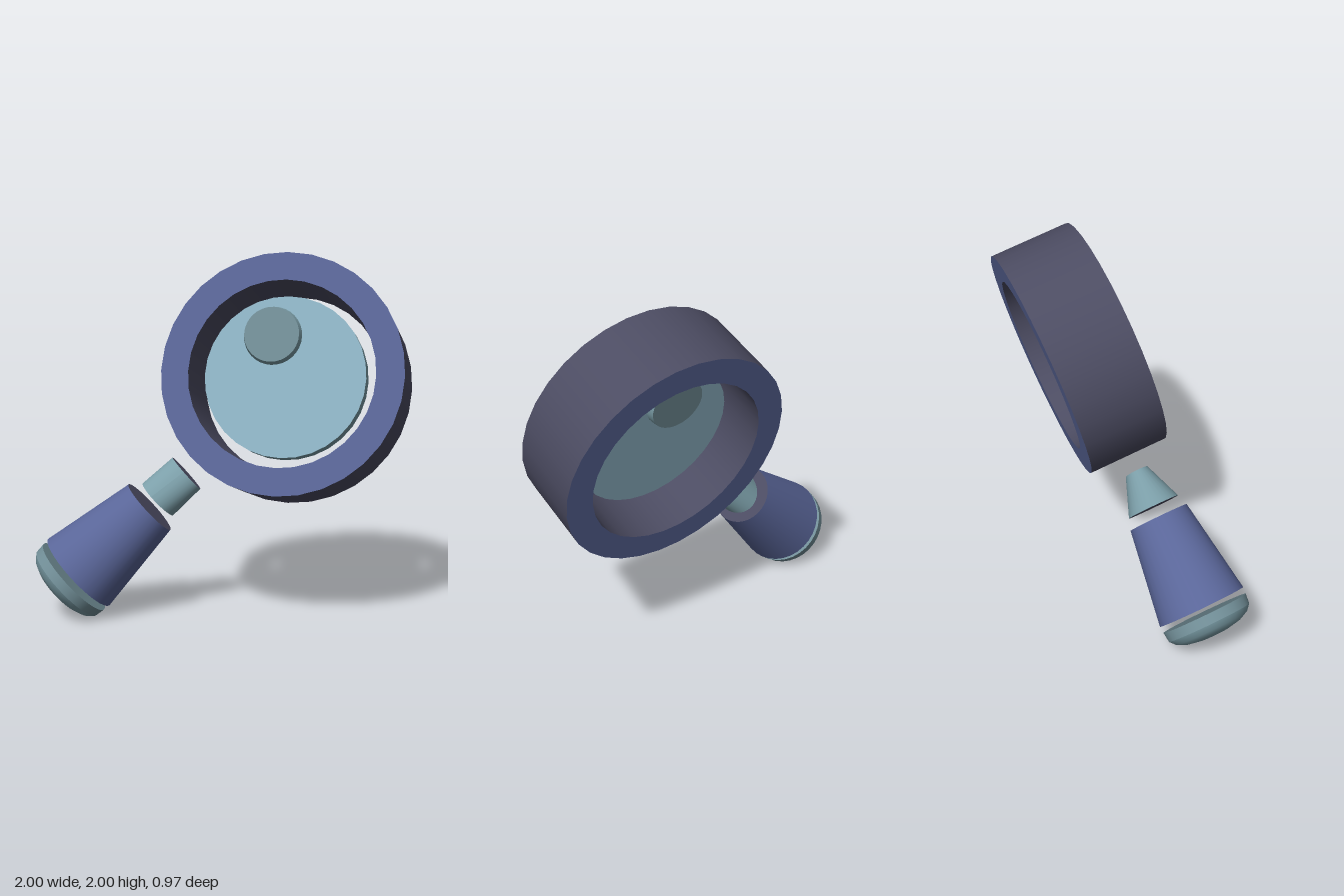
import * as THREE from 'three';

const BLUE = 0x5a6699, SLATE = 0x4c4c62, GLASS = 0x8fb5c6, TEAL = 0x7c9fa9, RIM = 0x728f98;
const SIDES = 32;

// Turns a profile of [radius, height] points, ordered so faces point outward.
function turned(name, color, points, reshape) {
  const geo = new THREE.LatheGeometry(points.map(([r, y]) => new THREE.Vector2(r, y)), SIDES);
  if (reshape) {
    const pos = geo.attributes.position;
    const v = new THREE.Vector3();
    for (let i = 0; i < pos.count; i++) {
      reshape(v.fromBufferAttribute(pos, i));
      pos.setXYZ(i, v.x, v.y, v.z);
    }
    geo.computeVertexNormals();
  }
  const mesh = new THREE.Mesh(geo, new THREE.MeshStandardMaterial({ color }));
  mesh.name = name;
  return mesh;
}

// Closed frustum with crisp ends: r0 at height y0, r1 at height y1.
function frustum(name, r0, y0, r1, y1, sideColor, capColor, reshape) {
  const group = new THREE.Group();
  group.name = name;
  group.add(
    turned(name + 'Side', sideColor, [[r0, y0], [r1, y1]], reshape),
    turned(name + 'LowerCap', capColor, [[0, y0], [r0, y0]], reshape),
    turned(name + 'UpperCap', capColor, [[r1, y1], [0, y1]], reshape)
  );
  return group;
}

export function createModel() {
  const model = new THREE.Group();
  model.name = 'magnifyingGlass';

  // Whole tool leans back; its local z is the optical axis
  const tool = new THREE.Group();
  tool.name = 'tool';
  tool.position.set(0.345, 1.31, -0.085);
  tool.rotation.x = -0.286;
  model.add(tool);

  // Head: frame and lens share an axis
  const head = new THREE.Group();
  head.name = 'head';
  head.rotation.x = Math.PI / 2;
  tool.add(head);

  const R = 0.655, r = 0.505, h = 0.225;
  const frame = new THREE.Group();
  frame.name = 'frame';
  frame.add(
    turned('frameOuterWall', SLATE, [[R, -h], [R, h]]),
    turned('frameFrontFace', BLUE, [[R, h], [r, h]]),
    turned('frameInnerWall', SLATE, [[r, h], [r, -h]]),
    turned('frameBackFace', BLUE, [[r, -h], [R, -h]])
  );
  head.add(frame);

  head.add(frustum('lens', 0.44, 0, 0.44, 0.106, TEAL, GLASS));

  // Small round glint standing out on both sides of the lens
  const glint = new THREE.Group();
  glint.name = 'glint';
  glint.position.set(-0.077, 0, -0.222);
  glint.add(
    frustum('glintBack', 0.15, -0.045, 0.163, 0.02, TEAL, RIM),
    frustum('glintFront', 0.163, 0.09, 0.15, 0.15, TEAL, RIM)
  );
  head.add(glint);

  // Handle: runs radially, down and to the right of the frame
  const handle = new THREE.Group();
  handle.name = 'handle';
  handle.rotation.z = Math.PI * 0.75;
  tool.add(handle);

  // Neck: constant width, thickness flaring toward the grip
  const neckStart = 0.755, neckEnd = 0.968;
  handle.add(frustum('neck', 0.117, neckStart, 0.12, neckEnd, TEAL, SLATE, (v) => {
    const t = (v.y - neckStart) / (neckEnd - neckStart);
    v.z *= THREE.MathUtils.lerp(0.56, 1.24, t);
  }));

  handle.add(frustum('grip', 0.17, 1.032, 0.25, 1.567, BLUE, SLATE));

  // Domed pommel with a flat inner face and a short rim
  const pommel = new THREE.Group();
  pommel.name = 'pommel';
  pommel.add(
    turned('pommelInnerFace', RIM, [[0, 1.605], [0.247, 1.605]]),
    turned('pommelRim', RIM, [[0.247, 1.605], [0.241, 1.66]]),
    turned('pommelDome', TEAL, [[0.241, 1.66], [0.212, 1.692], [0.16, 1.716], [0.085, 1.73], [0, 1.735]])
  );
  handle.add(pommel);

  return model;
}
